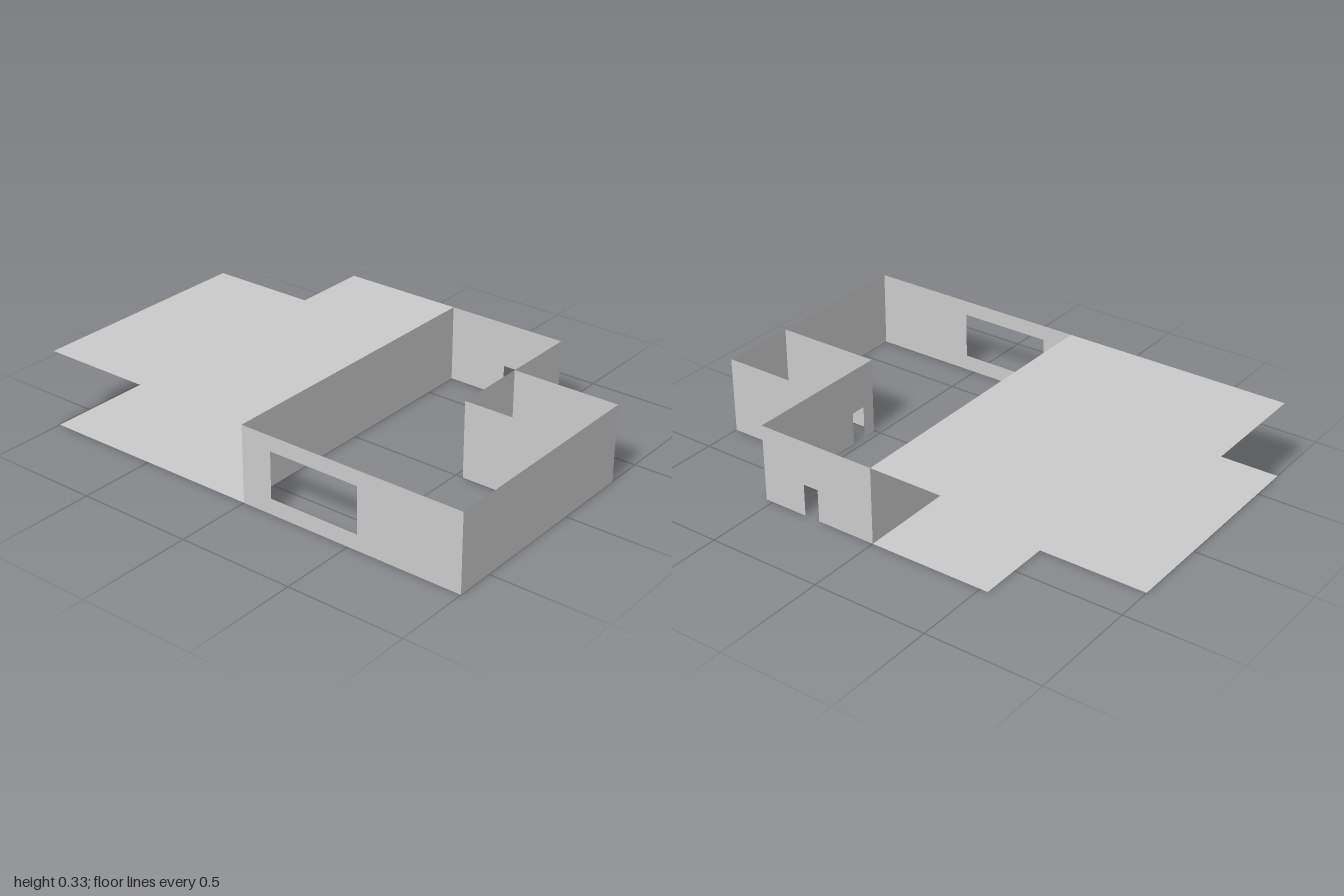
import * as THREE from 'three';

const H = 0.333, W = 0.667, STEP = 0.333, MID = 0.533, DOOR_H = 0.14;
const material = new THREE.MeshStandardMaterial({ color: 0xcccccc, side: THREE.DoubleSide });

const outline = (points) => new THREE.Shape(points.map(([x, y]) => new THREE.Vector2(x, y)));

// Upright sheet from plan point a to b; door = [start, end] along the wall,
// opening = [start, end, bottom, top]
function wall(name, a, b, { door, opening } = {}) {
  const dx = b[0] - a[0], dz = b[1] - a[1];
  const length = Math.hypot(dx, dz);
  const points = [[0, 0]];
  if (door) points.push([door[0], 0], [door[0], DOOR_H], [door[1], DOOR_H], [door[1], 0]);
  points.push([length, 0], [length, H], [0, H]);
  const shape = outline(points);
  if (opening) {
    const [s, e, low, high] = opening;
    shape.holes.push(outline([[s, low], [s, high], [e, high], [e, low]]));
  }
  const mesh = new THREE.Mesh(new THREE.ShapeGeometry(shape), material);
  mesh.name = name;
  mesh.position.set(a[0], 0, a[1]);
  mesh.rotation.y = Math.atan2(-dz, dx);
  return mesh;
}

// Flat L-shaped sheet lying beside the walls
function slab(name, y) {
  const shape = outline([[-W, 0], [W, 0], [W, MID], [STEP, MID], [STEP, 1], [-W, 1]]);
  const mesh = new THREE.Mesh(new THREE.ShapeGeometry(shape), material);
  mesh.name = name;
  mesh.rotation.x = -Math.PI / 2;
  mesh.position.y = y;
  return mesh;
}

export function createModel() {
  const house = new THREE.Group();
  house.name = 'housePlan';
  house.add(
    // Outer walls
    wall('frontWall', [-W, 1], [STEP, 1]),
    wall('frontSideWall', [STEP, 1], [STEP, MID]),
    wall('entranceWall', [W, 0], [W, MID], { door: [0.264, 0.333] }),
    wall('backWall', [-W, 0], [W, 0]),
    wall('windowWall', [-W, 0], [-W, 1], { opening: [0.137, 0.543, 0.068, 0.268] }),
    // Cross wall: inner partition with a doorway, continuing as the outer step wall
    wall('crossWall', [0, MID], [W, MID], { door: [0.062, 0.131] }),
    wall('roomPartition', [0, MID], [0, 1]),
    // Floor and roof sheets
    slab('floorSheet', 0),
    slab('roofSheet', H),
  );
  return house;
}
